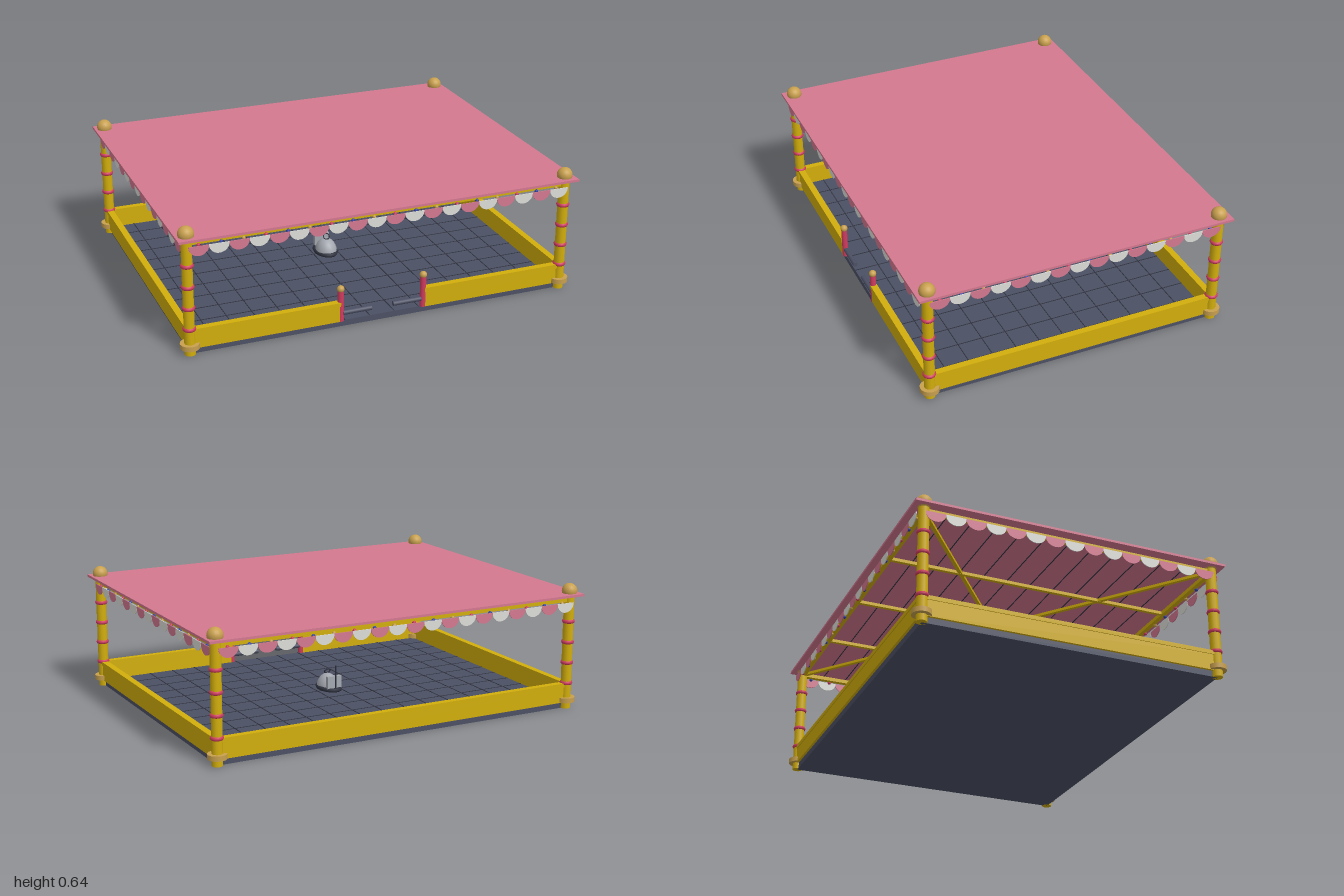
import * as THREE from 'three';

const mat = (name, color) => {
  const m = new THREE.MeshStandardMaterial({ color, side: THREE.DoubleSide });
  m.name = name;
  return m;
};

export function createModel() {
  const M = {
    rose: mat('rose canvas', 0xd4788f),
    crimson: mat('crimson', 0xd03c60),
    yellow: mat('yellow paint', 0xd2ae0c),
    gold: mat('gold', 0xc8a04e),
    slate: mat('slate floor', 0x4c5064),
    line: mat('dark seams', 0x30333f),
    white: mat('white canvas', 0xdcdcd8),
    grey: mat('car grey', 0xa4a8b0),
    blue: mat('blue bulb', 0x3444b0),
  };
  const root = new THREE.Group();
  const PX = 0.95, PZ = 0.735;

  const add = (name, geo, material, x = 0, y = 0, z = 0, parent = root) => {
    const mesh = new THREE.Mesh(geo, material);
    mesh.name = name;
    mesh.position.set(x, y, z);
    parent.add(mesh);
    return mesh;
  };
  const box = (name, w, h, d, material, x, y, z, parent) =>
    add(name, new THREE.BoxGeometry(w, h, d), material, x, y, z, parent);
  const group = (name) => {
    const g = new THREE.Group();
    g.name = name;
    root.add(g);
    return g;
  };

  // Floor slab with tile seams
  box('floorSlab', PX * 2, 0.03, PZ * 2, M.slate, 0, 0.015, 0);
  const seams = group('floorSeams');
  for (let i = 1; i < 15; i++)
    box('seam', 0.004, 0.002, PZ * 2, M.line, -PX + (i * PX * 2) / 15, 0.031, 0, seams);
  for (let i = 1; i < 12; i++)
    box('seam', PX * 2, 0.002, 0.004, M.line, 0, 0.031, -PZ + (i * PZ * 2) / 12, seams);

  // Low walls with a coping; the front has an entrance gap
  const wall = (w, d, x, z) => {
    box('wall', w, 0.08, d, M.yellow, x, 0.07, z);
    box('wallCoping', w + 0.008, 0.02, d + 0.008, M.yellow, x, 0.12, z);
  };
  wall(PX * 2, 0.025, 0, -PZ);
  for (const s of [-1, 1]) {
    wall(0.025, PZ * 2, s * PX, 0);
    wall(0.73, 0.025, s * 0.585, PZ);
    // Entrance posts with half-width gate rails
    add('gatePost', new THREE.CylinderGeometry(0.015, 0.015, 0.155, 12), M.crimson, s * 0.212, 0.1075, PZ);
    add('gateKnob', new THREE.SphereGeometry(0.018, 14, 10), M.gold, s * 0.212, 0.195, PZ);
    const rail = add('gateRail', new THREE.CylinderGeometry(0.012, 0.012, 0.145, 10), M.slate, s * 0.128, 0.07, PZ);
    rail.rotation.z = Math.PI / 2;
  }

  // Corner posts with base collars, rings and ball finials
  for (const sx of [-1, 1]) for (const sz of [-1, 1]) {
    const p = group('cornerPost');
    p.position.set(sx * PX, 0, sz * PZ);
    add('postShaft', new THREE.CylinderGeometry(0.026, 0.026, 0.57, 12), M.yellow, 0, 0.285, 0, p);
    add('postBase', new THREE.CylinderGeometry(0.046, 0.046, 0.024, 20), M.gold, 0, 0.045, 0, p);
    for (const y of [0.13, 0.235, 0.34, 0.445]) {
      const ring = add('postRing', new THREE.TorusGeometry(0.021, 0.011, 8, 18), M.crimson, 0, y, 0, p);
      ring.rotation.x = Math.PI / 2;
    }
    add('finial', new THREE.SphereGeometry(0.038, 20, 14), M.gold, 0, 0.598, 0, p);
  }

  // Roof sheet and the frame under it
  box('roof', 2, 0.012, 1.58, M.rose, 0, 0.581, 0);
  for (const s of [-1, 1]) {
    box('edgeBeam', PX * 2, 0.02, 0.024, M.yellow, 0, 0.555, s * PZ);
    box('edgeBeam', 0.024, 0.02, PZ * 2, M.yellow, s * PX, 0.555, 0);
    const brace = box('diagonalBeam', 2 * Math.hypot(PX, PZ), 0.014, 0.018, M.yellow, 0, 0.556, 0);
    brace.rotation.y = s * Math.atan2(PZ, PX);
  }
  for (const x of [-0.475, 0, 0.475])
    box('crossBeam', 0.018, 0.016, PZ * 2, M.yellow, x, 0.556, 0);
  const wires = group('ceilingWires');
  for (let i = 1; i < 12; i++)
    box('wire', PX * 2, 0.003, 0.004, M.line, 0, 0.57, -PZ + (i * PZ * 2) / 12, wires);

  // Scalloped valance and bulbs on all four sides
  const bulbGeo = new THREE.SphereGeometry(0.009, 10, 8);
  const bulbMats = [M.crimson, M.blue, M.gold];
  const valance = (length, count, offset, bulbOffset, bulbs, angle) => {
    const g = group('valance');
    g.rotation.y = angle;
    const pitch = length / count, r = pitch / 2;
    const s = new THREE.Shape();
    s.moveTo(-r, 0.003);
    s.lineTo(-r, 0);
    s.absellipse(0, 0, r, 0.044, Math.PI, Math.PI * 2, false, 0);
    s.lineTo(r, 0.003);
    const geo = new THREE.ExtrudeGeometry(s, { depth: 0.004, bevelEnabled: false, curveSegments: 14 });
    for (let i = 0; i < count; i++)
      add('scallop', geo, i % 2 ? M.white : M.rose, -length / 2 + (i + 0.5) * pitch, 0.543, offset, g);
    for (let i = 0; i < bulbs; i++)
      add('bulb', bulbGeo, bulbMats[i % 3], -length / 2 + ((i + 0.5) * length) / bulbs, 0.542, bulbOffset, g);
  };
  for (const k of [0, Math.PI]) {
    valance(PX * 2, 20, 0.768, 0.748, 18, k);
    valance(PZ * 2, 15, 0.972, 0.963, 14, k + Math.PI / 2);
  }

  // Small ride car in the middle of the floor
  const car = group('rideCar');
  car.position.y = 0.03;
  const bumper = add('carBumper', new THREE.TorusGeometry(0.05, 0.011, 8, 28), M.line, 0, 0.017, 0, car);
  bumper.rotation.x = Math.PI / 2;
  bumper.scale.y = 1.5;
  const body = add('carBody', new THREE.SphereGeometry(0.055, 20, 8, 0, Math.PI * 2, 0, Math.PI / 2), M.grey, 0, 0.012, 0.012, car);
  body.scale.set(1, 1.35, 1.2);
  box('carSeat', 0.08, 0.075, 0.02, M.grey, 0, 0.05, -0.055, car);
  const wheel = add('steeringWheel', new THREE.TorusGeometry(0.016, 0.003, 6, 18), M.line, 0, 0.098, 0.015, car);
  wheel.rotation.x = -0.7;
  add('contactPole', new THREE.CylinderGeometry(0.003, 0.003, 0.13, 8), M.line, 0, 0.082, -0.075, car);

  return root;
}
